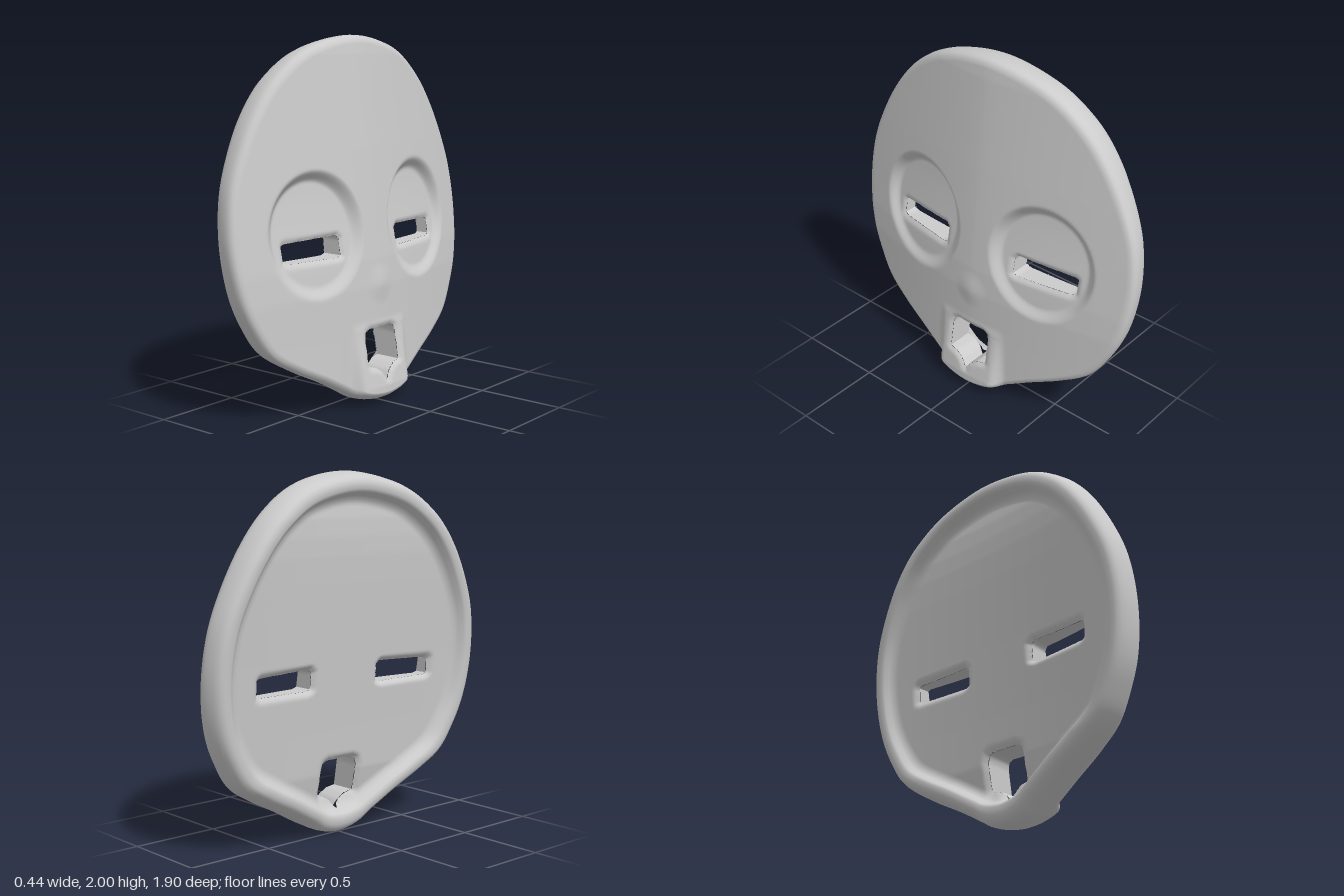
import * as THREE from 'three';
import { mergeVertices, toCreasedNormals } from 'three/addons/utils/BufferGeometryUtils.js';

const { lerp, smoothstep, clamp } = THREE.MathUtils;
const V2 = (z, y) => new THREE.Vector2(z, y);

// Half outline of the mask as [z, y], from the crown to the chin
const half = [[0, 2], [0.24, 1.968], [0.42, 1.903], [0.6, 1.772], [0.735, 1.61], [0.85, 1.405], [0.92, 1.22], [0.95, 1.0],
  [0.938, 0.8], [0.9, 0.64], [0.84, 0.51], [0.745, 0.37], [0.59, 0.268], [0.4, 0.17], [0.22, 0.068], [0.13, 0.02], [0, 0]];

// Openings as [z, y] polygons
const eyeSlit = [[0.24, 0.84], [0.24, 0.93], [0.26, 0.95], [0.61, 0.94], [0.625, 0.93], [0.625, 0.845], [0.6, 0.835], [0.27, 0.83]];
const mouth = [[-0.13, 0.215], [-0.13, 0.37], [-0.12, 0.405], [-0.09, 0.42], [0.09, 0.42], [0.12, 0.405], [0.13, 0.37],
  [0.13, 0.215], [0.075, 0.205], [0.03, 0.175], [0, 0.13], [-0.03, 0.175], [-0.075, 0.205]];
const holes = {
  leftEyeSlit: eyeSlit.map(([z, y]) => [-z, y]),
  rightEyeSlit: eyeSlit,
  mouthOpening: mouth,
};

// Distance to a polygon, negative inside
function polygonDistance(poly, z, y) {
  let best = Infinity, inside = false;
  poly.forEach(([az, ay], i) => {
    const [bz, by] = poly[(i + 1) % poly.length];
    const ez = bz - az, ey = by - ay;
    const t = clamp(((z - az) * ez + (y - ay) * ey) / (ez * ez + ey * ey), 0, 1);
    best = Math.min(best, Math.hypot(z - az - t * ez, y - ay - t * ey));
    if ((ay > y) !== (by > y) && z < az + ((y - ay) / ey) * ez) inside = !inside;
  });
  return inside ? -best : best;
}
const holeDistance = (z, y) => Math.min(...Object.values(holes).map(p => polygonDistance(p, z, y)));

// Rounding around the openings: 1 at their edge, 0 from the given distance on
const holeRounding = (z, y, width) => Math.pow(1 - clamp(holeDistance(z, y) / width, 0, 1), 2);

// Linear lookup in a list of [y, x]
function lookup(table, y) {
  for (let i = 1; i < table.length; i++) {
    const [y0, x0] = table[i - 1], [y1, x1] = table[i];
    if (y <= y1 || i === table.length - 1) return lerp(x0, x1, (y - y0) / (y1 - y0));
  }
}
const ridge = [[0, 0.173], [0.4, 0.163], [0.55, 0.16], [0.65, 0.158], [0.8, 0.148], [1.1, 0.115], [1.4, 0.08], [1.6, 0.055], [1.9, 0.018], [2, 0]];
const lip = [[0, -0.035], [0.35, -0.11], [0.6, -0.13], [1, -0.165], [1.4, -0.202], [1.55, -0.214], [1.65, -0.218], [1.75, -0.217], [1.95, -0.197]];

// Face surface: curved shield, sunken eye sockets, nose tip, raised mouth block, softened openings
function frontX(z, y) {
  const a = Math.abs(z);
  let x = lookup(ridge, y) - 0.15 * Math.pow(a / 0.95, 1.55);
  const r = Math.hypot((a - 0.425) / 0.325, (y - 0.97) / 0.345);
  x -= lerp(0.03, 0.055, smoothstep(y, 0.65, 1.2)) * (1 - smoothstep(r, 0.78, 1));
  x += 0.009 * (1 - smoothstep(Math.hypot(z, y - 0.66), 0, 0.12));
  x += (0.008 + 0.044 * clamp((0.4 - y) / 0.3, 0, 1)) * (1 - smoothstep(a, 0.18, 0.24)) * (1 - smoothstep(y, 0.4, 0.47));
  return x - 0.015 * holeRounding(z, y, 0.03);
}
const lipX = y => lookup(lip, y);
const hollowX = (z, y) => lipX(y) + 0.04 + 0.05 * (1 - (z / 0.9) ** 2) + 0.025 * holeRounding(z, y, 0.035);

// The underside of the chin slopes up from its back edge to its front edge
const chinSlope = (x, y) => lerp(-0.022, 0.03, clamp((x + 0.01) / 0.22, 0, 1)) * (1 - smoothstep(y, 0, 0.12));

// Rings run from the face centre, over the rim and into the hollow back
function buildRings() {
  const rings = [];
  const faceSteps = 95, backSteps = 60, edge = 0.965;
  for (let i = 0; i <= faceSteps; i++) rings.push([(edge * i) / faceSteps, frontX]);
  const rim = [[0.982, 0.04], [0.993, 0.11], [0.999, 0.21], [1, 0.34], [0.995, 0.52], [0.987, 0.7], [0.976, 0.85],
    [0.96, 0.95], [0.938, 1], [0.905, 0.985]];
  for (const [s, u] of rim) {
    rings.push([s, (z, y) => {
      const k = edge / s, faceY = 1 + (y - 1) * k;
      return lerp(frontX(z * k, faceY), lipX(y), u);
    }]);
  }
  for (const [s, u] of [[0.888, 0.22], [0.87, 0.65], [0.85, 0.92]]) {
    rings.push([s, (z, y) => lerp(lipX(y), hollowX(z, y), u)]);
  }
  for (let i = backSteps; i >= 0; i--) rings.push([(0.825 * i) / backSteps, hollowX]);
  return rings;
}

function shellGeometry() {
  const N = 280;
  const loop = [...half, ...half.slice(1, -1).reverse().map(([z, y]) => [-z, y])];
  const curve = new THREE.CatmullRomCurve3(loop.map(([z, y]) => new THREE.Vector3(0, y, z)), true);
  const outline = curve.getSpacedPoints(N).slice(0, N).map(p => V2(p.z, p.y - 1));
  const grid = buildRings().map(([s, height]) => outline.map(o => {
    const z = o.x * s, y = 1 + o.y * s, x = height(z, y);
    return { p: new THREE.Vector3(x, Math.max(0, y + chinSlope(x, y)), z), d: holeDistance(z, y) };
  }));
  const pos = [];
  // Keep the part of each triangle that lies outside the openings
  const addTriangle = (...tri) => {
    const kept = [];
    tri.forEach((a, i) => {
      const b = tri[(i + 1) % 3];
      if (a.d >= 0) kept.push(a.p);
      if ((a.d >= 0) !== (b.d >= 0)) kept.push(a.p.clone().lerp(b.p, a.d / (a.d - b.d)));
    });
    for (let i = 2; i < kept.length; i++) {
      for (const v of [kept[0], kept[i - 1], kept[i]]) pos.push(v.x, v.y, v.z);
    }
  };
  for (let i = 0; i + 1 < grid.length; i++) {
    for (let j = 0; j < N; j++) {
      const k = (j + 1) % N;
      const a = grid[i][j], b = grid[i + 1][j], c = grid[i + 1][k], d = grid[i][k];
      if (i > 0) addTriangle(a, c, d);
      if (i < grid.length - 2) addTriangle(a, b, c);
    }
  }
  const geo = new THREE.BufferGeometry();
  geo.setAttribute('position', new THREE.Float32BufferAttribute(pos, 3));
  const merged = mergeVertices(geo, 1e-4);
  merged.computeVertexNormals();
  return merged;
}

// Wall of an opening, joining the face to the hollow back
function wallGeometry(poly) {
  const pts = [];
  poly.forEach(([az, ay], i) => {
    const [bz, by] = poly[(i + 1) % poly.length];
    const n = Math.ceil(Math.hypot(bz - az, by - ay) / 0.02);
    for (let k = 0; k < n; k++) pts.push(V2(lerp(az, bz, k / n), lerp(ay, by, k / n)));
  });
  const pos = [];
  pts.forEach((a, i) => {
    const b = pts[(i + 1) % pts.length];
    const [af, ab, bf, bb] = [
      [frontX(a.x, a.y), a.y, a.x], [hollowX(a.x, a.y), a.y, a.x],
      [frontX(b.x, b.y), b.y, b.x], [hollowX(b.x, b.y), b.y, b.x],
    ];
    pos.push(...af, ...ab, ...bb, ...af, ...bb, ...bf);
  });
  const geo = new THREE.BufferGeometry();
  geo.setAttribute('position', new THREE.Float32BufferAttribute(pos, 3));
  return toCreasedNormals(geo, 0.9);
}

export function createModel() {
  const group = new THREE.Group();
  group.name = 'mask';
  const add = (name, geometry, side) => {
    const mesh = new THREE.Mesh(geometry, new THREE.MeshStandardMaterial({ color: 0xcccccc, side }));
    mesh.name = name;
    group.add(mesh);
  };
  add('maskShell', shellGeometry(), THREE.FrontSide);
  for (const [name, poly] of Object.entries(holes)) add(name + 'Wall', wallGeometry(poly), THREE.DoubleSide);
  return group;
}
